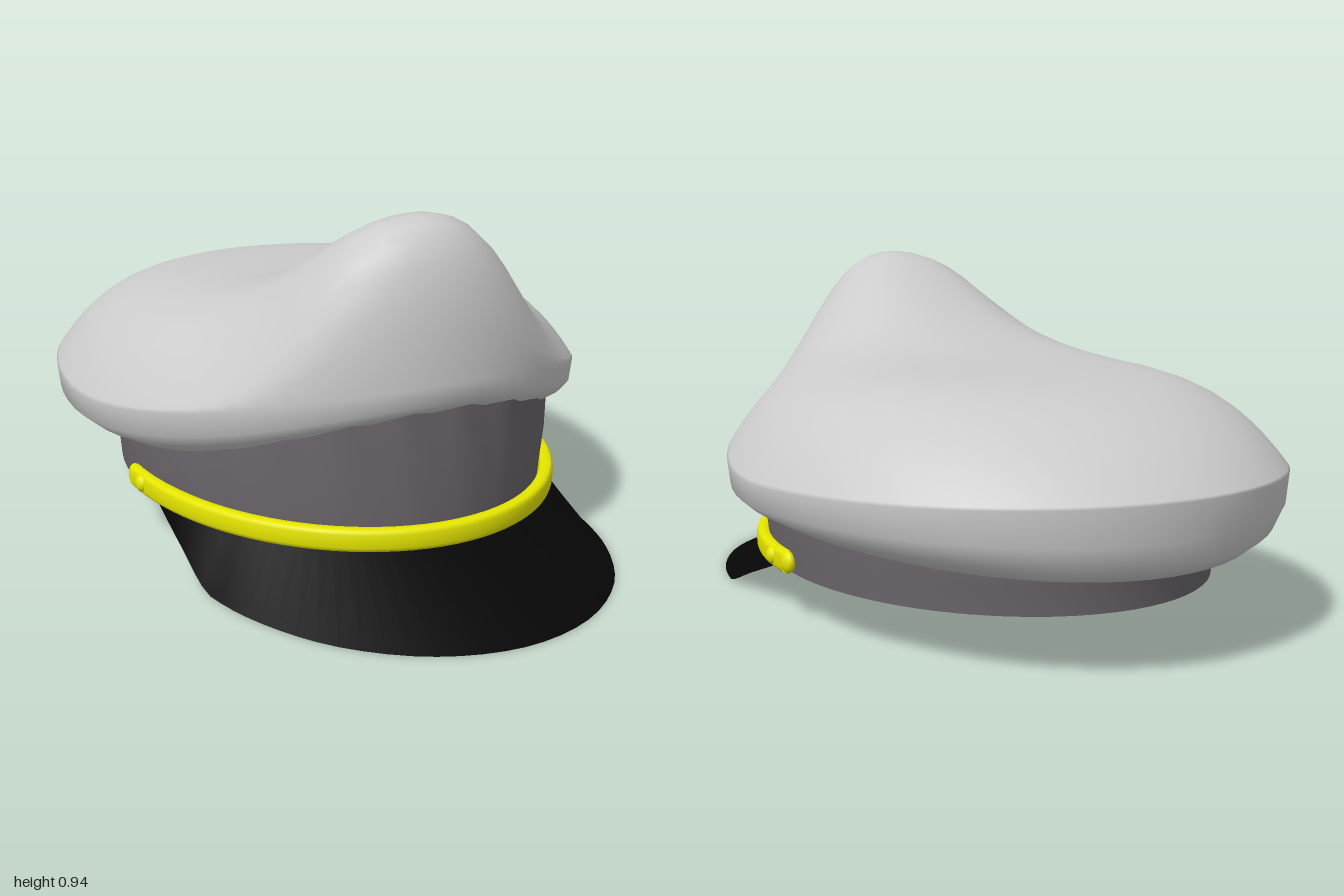
import * as THREE from 'three';

const SEG = 72;
const paint = (color) => new THREE.MeshStandardMaterial({ color, side: THREE.DoubleSide });

// Skin a list of rings (each an array of [x, y, z]) into a smooth surface.
function loft(rings, closed) {
  const n = rings[0].length;
  const index = [];
  for (let i = 0; i < rings.length - 1; i++) {
    for (let j = 0; j < (closed ? n : n - 1); j++) {
      const k = (j + 1) % n;
      const a = i * n + j, b = i * n + k, c = a + n, d = b + n;
      index.push(a, b, c, b, d, c);
    }
  }
  const geo = new THREE.BufferGeometry();
  geo.setAttribute('position', new THREE.Float32BufferAttribute(rings.flat(2), 3));
  geo.setIndex(index);
  geo.computeVertexNormals();
  return geo;
}

// A ring around the cap; angle 0 is the front, increasing towards +x.
const ring = (point) => Array.from({ length: SEG }, (_, j) => point((j / SEG) * Math.PI * 2));
const front = (a) => Math.max(0, Math.cos(a));
const back = (a) => Math.max(0, -Math.cos(a));

// Head band outline, and crown outline narrowing towards the front
const band = (a, s, y) => [0.57 * s * Math.sin(a), y, -0.08 + 0.71 * s * Math.cos(a)];
const outline = (a, s, y) => [
  0.724 * s * (1 - 0.08 * front(a) ** 2) * Math.sin(a), y, -0.16 + 0.84 * s * Math.cos(a)];

// Heights of the crown's widest edge and of its underside
const edgeY = (a) => 0.4 + 0.15 * front(a) ** 2 + 0.03 * back(a);
const underY = (a) => 0.28 + 0.175 * front(a) ** 2.6 - 0.035 * back(a) ** 2;

// Top of the crown: a shallow dome with a tall, broad peak at the front
function topPoint(a, r) {
  const p = outline(a, r, 0);
  const base = 0.42 + (edgeY(a) - 0.42) * r * r;
  const dome = (0.25 + 0.03 * p[2]) * (1 - r ** (4 + Math.sin(a) ** 2));
  const peak = 0.325 * Math.exp(-(((0.66 - p[2]) / 0.4) ** 2))
    * Math.exp(-(Math.abs((p[0] + 0.06) / 0.34) ** 2.8)) * Math.sqrt(1 - r ** 24);
  p[1] = base + dome + peak;
  return p;
}

// Crown shell: overhanging underside, rim and top
function makeCrown() {
  const rings = [
    ring((a) => band(a, 1.02, underY(a) + 0.03)),
    ring((a) => outline(a, 0.86 + 0.07 * Math.cos(a) ** 2, underY(a))),
    ring((a) => outline(a, 0.94 + 0.03 * Math.cos(a) ** 2, underY(a) + 0.03)),
    ring((a) => outline(a, 0.99, underY(a) * 0.5 + edgeY(a) * 0.5)),
  ];
  for (const r of [1, 0.993, 0.98, 0.96, 0.93, 0.89, 0.84, 0.77, 0.69, 0.6, 0.5, 0.4, 0.3, 0.2, 0.1, 0]) {
    rings.push(ring((a) => topPoint(a, r)));
  }
  return loft(rings, true);
}

// Cloth band, gently gathered where it meets the crown at the front
function makeBand() {
  const gather = (a) => 0.012 * front(a) * Math.sin(a * 24);
  return loft([
    ring((a) => band(a, 1, 0.13)),
    ring((a) => band(a, 1.01, 0.2)),
    ring((a) => band(a, 1.02 + gather(a) * 0.5, underY(a) * 0.6 + 0.08)),
    ring((a) => band(a, 1.02 + gather(a), underY(a) + 0.035)),
  ], true);
}

// Peak: from the front arc of the band down to a level outer edge
function makeVisor() {
  const half = [[0.565, 0.125, 0.06], [0.566, 0.06, 0.25], [0.56, 0, 0.43], [0.505, 0, 0.62],
    [0.39, 0, 0.81], [0.21, 0, 0.95]];
  const pts = [...half.map(([x, y, z]) => [-x, y, z]), [0, 0, 1], ...half.reverse()];
  const curve = new THREE.CatmullRomCurve3(pts.map((p) => new THREE.Vector3(...p)));
  const n = 48, outer = [], inner = [];
  for (let i = 0; i <= n; i++) {
    const o = curve.getPoint(i / n);
    outer.push([o.x, Math.max(0, o.y), o.z]);
    inner.push(band((i / n * 2 - 1) * 1.37, 1.01, 0.135));
  }
  return loft([outer, inner], false);
}

// Strap: a flat, round-edged section swept around the front half of the band
function makeStrap() {
  const round = (v) => Math.sign(v) * Math.abs(v) ** 0.6;
  const sections = [];
  for (let i = 48; i >= 0; i--) {
    const a = (i / 48 - 0.5) * Math.PI;
    const section = [];
    for (let j = 0; j < 16; j++) {
      const t = (j / 16) * Math.PI * 2;
      const out = 0.02 * round(Math.cos(t));
      section.push([(0.58 + out) * Math.sin(a), 0.16 + 0.03 * round(Math.sin(t)),
        -0.06 + (0.728 + out) * Math.cos(a)]);
    }
    sections.push(section);
  }
  return loft(sections, true);
}

export function createModel() {
  const cap = new THREE.Group();
  cap.name = 'peakedCap';
  const add = (name, geo, mat, parent = cap) => {
    const mesh = new THREE.Mesh(geo, mat);
    mesh.name = name;
    parent.add(mesh);
    return mesh;
  };
  const grey = paint(0xcccccc), dark = paint(0x6b666b), black = paint(0x060606), yellow = paint(0xe6e600);

  add('crown', makeCrown(), grey);
  add('headBand', makeBand(), dark);
  add('sweatBand', loft([
    ring((a) => band(a, 1, 0.13)),
    ring((a) => band(a, 0.985, 0.135)),
    ring((a) => band(a, 0.985, 0.28)),
  ], true), black);
  add('visor', makeVisor(), black);

  // Strap across the front with rounded ends and a button at each side
  const strap = new THREE.Group();
  strap.name = 'chinStrap';
  cap.add(strap);
  add('strap', makeStrap(), yellow, strap);
  for (const side of [-1, 1]) {
    const end = add('strapEnd', new THREE.SphereGeometry(0.03, 16, 12), yellow, strap);
    end.position.set(side * 0.582, 0.16, -0.06);
    end.scale.x = 0.6;
    const button = add('strapButton', new THREE.SphereGeometry(0.024, 16, 12), yellow, strap);
    button.position.set(side * 0.592, 0.163, 0.02);
    button.scale.x = 0.7;
  }
  return cap;
}
